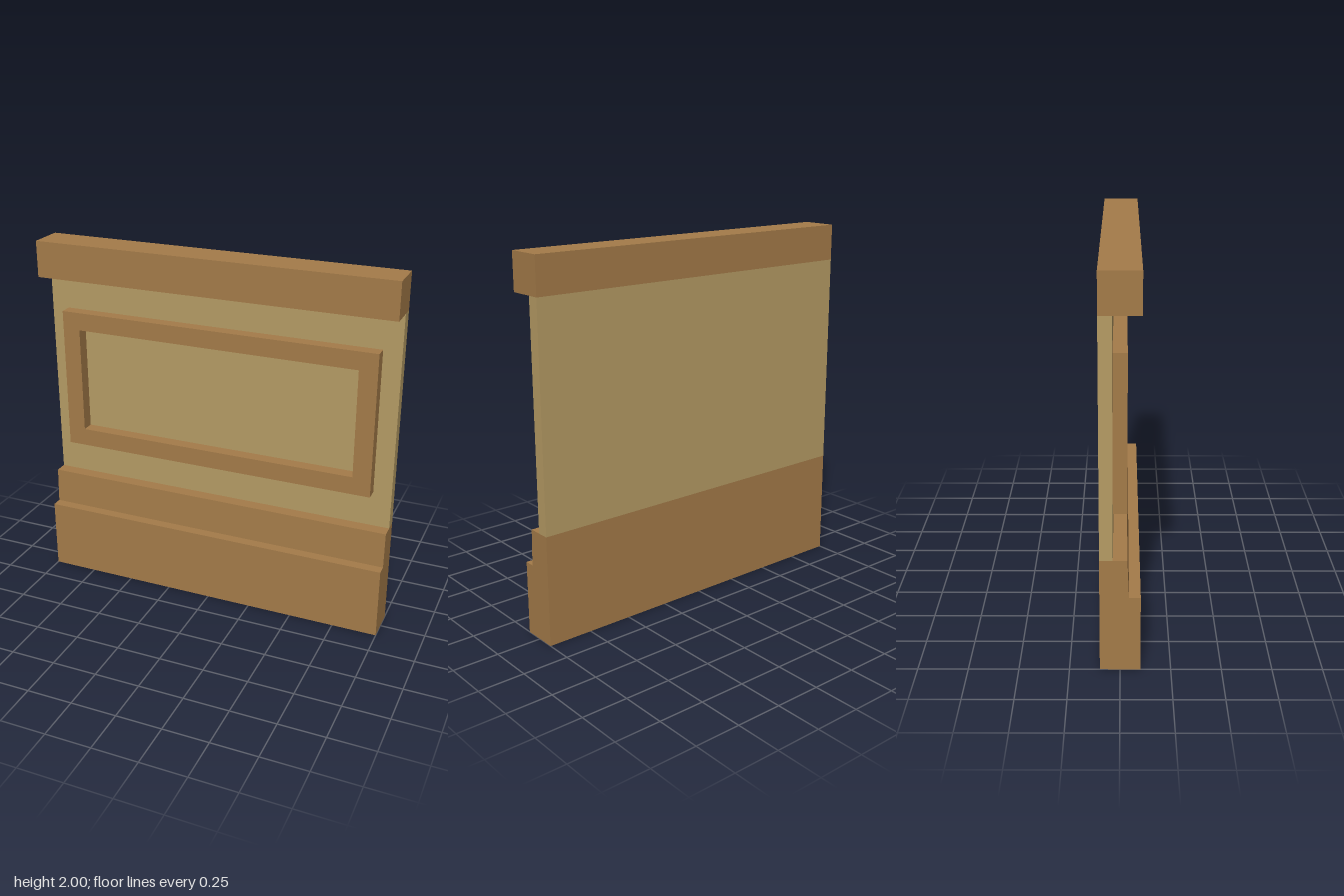
import * as THREE from 'three';

export function createModel() {
  const group = new THREE.Group();
  const trim = new THREE.MeshStandardMaterial({ name: 'brown wood trim', color: 0xa47b49 });
  const plaster = new THREE.MeshStandardMaterial({ name: 'tan panel', color: 0xb59b64 });

  const add = (name, geometry, material) => {
    const mesh = new THREE.Mesh(geometry, material);
    mesh.name = name;
    group.add(mesh);
    return mesh;
  };
  const outline = (points, Type = THREE.Shape) =>
    new Type(points.map(([x, y]) => new THREE.Vector2(x, y)));
  const rect = (x, y0, y1) => [[-x, y0], [x, y0], [x, y1], [-x, y1]];

  // Stepped skirting: a (z, y) profile swept along x
  const skirting = new THREE.ExtrudeGeometry(
    outline([[-0.1, 0], [0.1, 0], [0.1, 0.4], [0.043, 0.4], [0.035, 0.6], [-0.1, 0.6]]),
    { depth: 2, bevelEnabled: false });
  skirting.rotateY(-Math.PI / 2).translate(1, 0, 0);
  add('skirting', skirting, trim);

  // Recessed wall panel, flush with the trim at the back
  add('wallPanel', new THREE.BoxGeometry(2, 1.2, 0.065), plaster).position.set(0, 1.2, -0.0675);

  // Top rail
  add('topRail', new THREE.BoxGeometry(2, 0.2, 0.2), trim).position.set(0, 1.9, 0);

  // Raised rectangular moulding on the panel
  const frame = outline(rect(0.9, 0.8, 1.6));
  frame.holes.push(outline(rect(0.8, 0.9, 1.5).reverse(), THREE.Path));
  add('mouldingFrame', new THREE.ExtrudeGeometry(frame, { depth: 0.07, bevelEnabled: false }), trim)
    .position.z = -0.035;

  return group;
}
